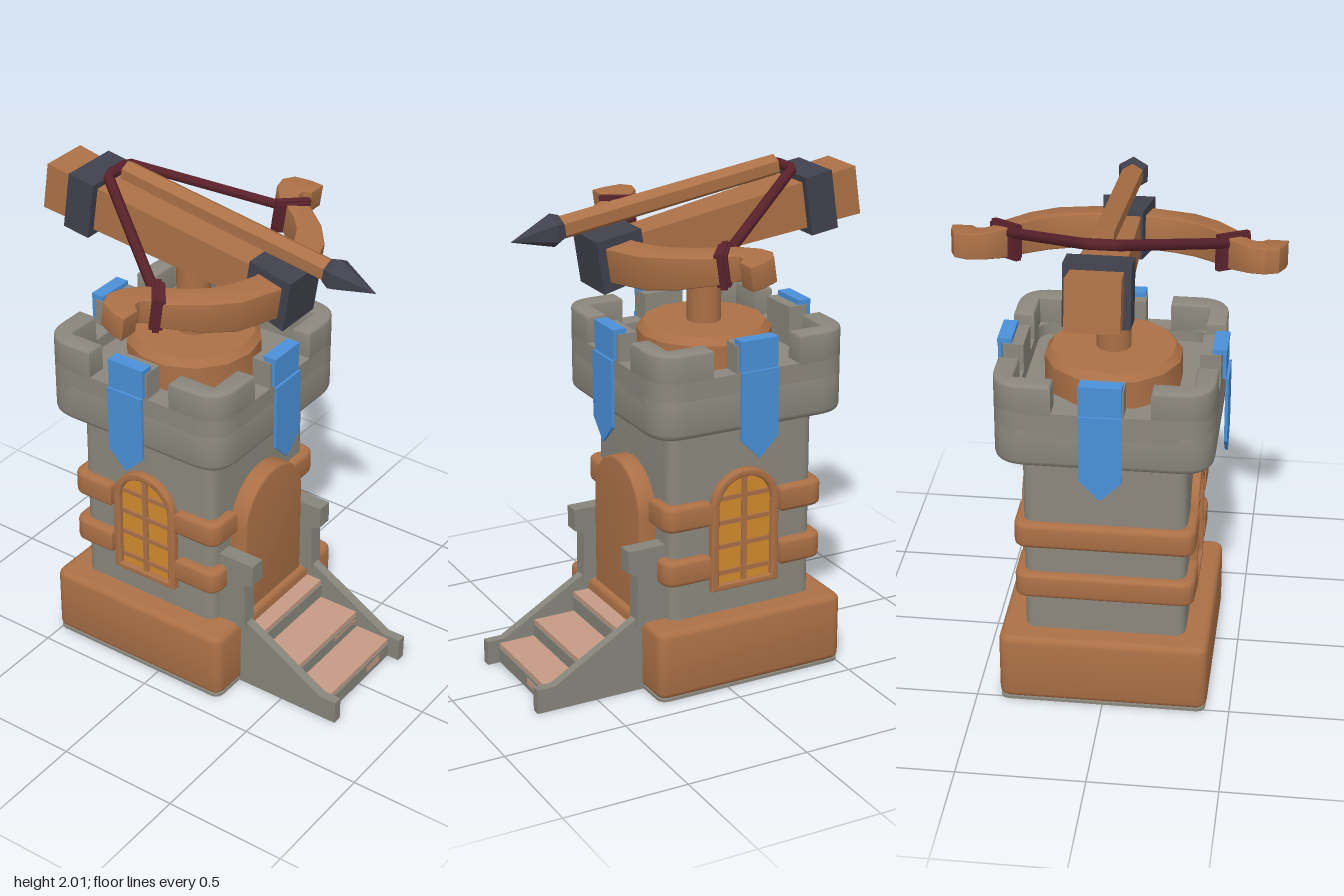
import * as THREE from 'three';
import { toCreasedNormals } from 'three/addons/utils/BufferGeometryUtils.js';

const mat = (name, color) => Object.assign(new THREE.MeshStandardMaterial({ color }), { name });
const stone = mat('stone', 0x8b877d);
const wood = mat('wood', 0xab7046);
const paleWood = mat('paleWood', 0xc69a84);
const railStone = mat('railStone', 0x85857b);
const iron = mat('iron', 0x40414c);
const cord = mat('cord', 0x5a222b);
const cloth = mat('cloth', 0x4a90d8);
const glass = mat('glass', 0xd08a2e);

function add(parent, name, geometry, material, x = 0, y = 0, z = 0) {
  const mesh = new THREE.Mesh(geometry, material);
  mesh.name = name;
  mesh.position.set(x, y, z);
  parent.add(mesh);
  return mesh;
}
function group(parent, name, x = 0, y = 0, z = 0) {
  const g = new THREE.Group();
  g.name = name;
  g.position.set(x, y, z);
  parent.add(g);
  return g;
}
const box = (w, h, d) => new THREE.BoxGeometry(w, h, d);
const polygon = pts => new THREE.Shape(pts.map(p => new THREE.Vector2(...p)));

// Extrusion along z from z0 to z1, bevel kept inside the outline
function extrude(shape, z0, z1, bevel = 0) {
  const g = new THREE.ExtrudeGeometry(shape, {
    depth: z1 - z0 - 2 * bevel, bevelEnabled: bevel > 0, bevelSize: bevel,
    bevelThickness: bevel, bevelOffset: -bevel, bevelSegments: 3, curveSegments: 10,
  });
  g.translate(0, 0, z0 + bevel);
  return toCreasedNormals(g, 0.6);
}
// Extrusion upward: shape (x, y) lies on the (x, z) plane
const extrudeUp = (shape, y0, y1, bevel) => extrude(shape, -y1, -y0, bevel).rotateX(Math.PI / 2);

function roundedSquare(h, r, T = THREE.Shape) {
  const s = new T();
  s.moveTo(-h + r, -h);
  s.lineTo(h - r, -h).quadraticCurveTo(h, -h, h, -h + r);
  s.lineTo(h, h - r).quadraticCurveTo(h, h, h - r, h);
  s.lineTo(-h + r, h).quadraticCurveTo(-h, h, -h, h - r);
  s.lineTo(-h, -h + r).quadraticCurveTo(-h, -h, -h + r, -h);
  return s;
}
// L-shaped corner piece; a and b are where its arms start along x and z
function cornerShape(inner, outer, a, b, r, sx = 1) {
  const s = new THREE.Shape();
  s.moveTo(sx * a, inner);
  s.lineTo(sx * a, outer);
  s.lineTo(sx * (outer - r), outer);
  s.quadraticCurveTo(sx * outer, outer, sx * outer, outer - r);
  s.lineTo(sx * outer, b);
  s.lineTo(sx * inner, b);
  s.lineTo(sx * inner, inner);
  return s;
}
function arch(w, y0, top, T = THREE.Shape) {
  const s = new T();
  s.moveTo(-w, y0);
  s.lineTo(w, y0);
  s.lineTo(w, top - w);
  s.absarc(0, top - w, w, 0, Math.PI, false);
  s.lineTo(-w, y0);
  return s;
}
function archFrame(w, inset, y0, sill, top) {
  const s = arch(w, y0, top);
  s.holes.push(arch(w - inset, y0 + sill, top - inset, THREE.Path));
  return s;
}

function buildTower(root) {
  const t = group(root, 'tower', 0, 0, -0.108);
  add(t, 'footing', extrudeUp(roundedSquare(0.405, 0.04), 0, 0.012), stone);
  add(t, 'plinth', extrudeUp(roundedSquare(0.41, 0.05), 0.01, 0.29, 0.025), wood);
  add(t, 'shaft', extrudeUp(roundedSquare(0.315, 0.05), 0.25, 1.12), stone);

  // Wooden hoops, interrupted by door and windows
  for (const y of [0.445, 0.67]) {
    for (const sx of [-1, 1])
      add(t, 'frontHoop', extrudeUp(cornerShape(0.29, 0.35, 0.2, 0.155, 0.06, sx), y, y + 0.105, 0.018), wood);
    const u = new THREE.Shape();
    u.moveTo(0.29, -0.155);
    u.lineTo(0.35, -0.155).lineTo(0.35, -0.29).quadraticCurveTo(0.35, -0.35, 0.29, -0.35);
    u.lineTo(-0.29, -0.35).quadraticCurveTo(-0.35, -0.35, -0.35, -0.29).lineTo(-0.35, -0.155);
    u.lineTo(-0.29, -0.155).lineTo(-0.29, -0.29).lineTo(0.29, -0.29);
    add(t, 'backHoop', extrudeUp(u, y, y + 0.105, 0.018), wood);
  }

  // Battlement: slab, parapet, merlons and banners
  add(t, 'battlementSlab', extrudeUp(roundedSquare(0.415, 0.13), 1.07, 1.25, 0.025), stone);
  const ring = roundedSquare(0.415, 0.13);
  ring.holes.push(roundedSquare(0.335, 0.07, THREE.Path));
  add(t, 'parapet', extrudeUp(ring, 1.2, 1.3), stone);
  for (let i = 0; i < 4; i++) {
    const side = group(t, 'battlementSide');
    side.rotation.y = i * Math.PI / 2;
    add(side, 'cornerMerlon', extrudeUp(cornerShape(0.335, 0.415, 0.185, 0.185, 0.13), 1.28, 1.41, 0.012), stone);
    add(side, 'middleMerlon', box(0.17, 0.12, 0.08), stone, 0, 1.35, 0.375);
    add(side, 'bannerHook', box(0.16, 0.02, 0.055), cloth, 0, 1.42, 0.408);
    add(side, 'bannerTop', box(0.16, 0.12, 0.014), cloth, 0, 1.37, 0.427);
    add(side, 'banner', extrude(polygon([[-0.08, 1.31], [-0.08, 1.04], [0, 0.96], [0.08, 1.04], [0.08, 1.31]]), 0.432, 0.444), cloth);
  }
  const disc = [[0, 1.24], [0.265, 1.24], [0.265, 1.36], [0.24, 1.39], [0, 1.39]];
  const turntable = new THREE.LatheGeometry(disc.map(p => new THREE.Vector2(...p)), 14);
  add(t, 'turntable', toCreasedNormals(turntable, 0.5), wood);
  add(t, 'post', new THREE.CylinderGeometry(0.067, 0.067, 0.34, 14), wood, 0, 1.54);

  // Door with a worn lower half
  add(t, 'doorFrame', extrude(archFrame(0.195, 0.036, 0.27, 0.01, 0.88), 0.29, 0.388, 0.008), wood);
  add(t, 'doorPanel', extrude(arch(0.165, 0.27, 0.85), 0.3, 0.33), paleWood);
  const wave = new THREE.Shape();
  wave.moveTo(-0.165, 0.27);
  wave.lineTo(-0.165, 0.44);
  wave.splineThru([[-0.145, 0.46], [-0.12, 0.53], [-0.085, 0.455], [-0.05, 0.46], [-0.005, 0.53], [0.03, 0.48],
    [0.07, 0.48], [0.1, 0.44], [0.135, 0.51], [0.165, 0.45]].map(p => new THREE.Vector2(...p)));
  wave.lineTo(0.165, 0.27);
  add(t, 'doorStain', extrude(wave, 0.33, 0.335), wood);
  add(t, 'doorRing', new THREE.TorusGeometry(0.035, 0.008, 8, 18), railStone, 0.095, 0.53, 0.365);
  add(t, 'doorRingHanger', box(0.014, 0.05, 0.045), railStone, 0.095, 0.575, 0.352);

  // Barred windows on both sides
  for (const s of [-1, 1]) {
    const w = group(t, 'window');
    w.rotation.y = s * Math.PI / 2;
    add(w, 'windowFrame', extrude(archFrame(0.147, 0.03, 0.39, 0.025, 0.88), 0.3, 0.346, 0.006), wood);
    add(w, 'windowPane', extrude(arch(0.12, 0.4, 0.855), 0.3, 0.325), glass);
    add(w, 'verticalBar', box(0.022, 0.44, 0.014), wood, 0, 0.63, 0.328);
    for (const y of [0.46, 0.57, 0.67, 0.77])
      add(w, 'crossBar', box(0.22, 0.018, 0.012), wood, 0, y, 0.328);
  }
}

function buildStairs(root) {
  const st = group(root, 'stairs');
  // Treads with stone risers, chipped in places
  for (const [top, front] of [[0.085, 0.70], [0.155, 0.545], [0.24, 0.37]]) {
    add(st, 'step', box(0.44, top, front - 0.2), paleWood, 0, top / 2, (front + 0.2) / 2);
    add(st, 'riser', box(0.43, 0.06, 0.008), railStone, 0, top - 0.048, front + 0.002);
  }
  add(st, 'riserChip', box(0.16, 0.042, 0.006), paleWood, 0.13, 0.11, 0.548);
  add(st, 'riserChip', box(0.09, 0.03, 0.006), paleWood, 0.1, 0.04, 0.704);
  const rail = polygon([[0.753, 0], [0.753, 0.1], [0.68, 0.1], [0.33, 0.305], [0.2, 0.305], [0.2, 0]]);
  const newel = polygon([[0.33, 0.28], [0.325, 0.49], [0.365, 0.51], [0.365, 0.6], [0.19, 0.6], [0.19, 0.28]]);
  for (const s of [-1, 1]) {
    add(st, 'stairRail', extrude(rail, -0.019, 0.019).rotateY(-Math.PI / 2), railStone, s * 0.238);
    add(st, 'newelPost', extrude(newel, -0.032, 0.032).rotateY(-Math.PI / 2), railStone, s * 0.238);
  }
}

// Box along z whose width and height change from back to front
function taperedBox(back, front, z0, z1) {
  const g = box(1, 1, 1), p = g.attributes.position;
  for (let i = 0; i < p.count; i++) {
    const [w, h] = p.getZ(i) > 0 ? front : back;
    p.setXYZ(i, p.getX(i) * w, p.getY(i) * h, p.getZ(i) > 0 ? z1 : z0);
  }
  g.computeVertexNormals();
  return g;
}

function buildCrossbow(root) {
  const c = group(root, 'crossbow', 0, 1.741, 0);
  c.rotation.x = 0.148;
  add(c, 'stock', taperedBox([0.2, 0.195], [0.12, 0.143], -0.745, 0.367), wood);
  add(c, 'frontBracket', taperedBox([0.15, 0.19], [0.205, 0.207], 0.19, 0.39), iron);
  add(c, 'rearBand', box(0.245, 0.235, 0.118), iron, 0, 0, -0.566);

  // Recurved bow, thinner toward the tips
  const half = [[0.1, 0.355], [0.27, 0.30], [0.37, 0.22], [0.47, 0.10], [0.49, 0.04], [0.51, 0.023], [0.54, 0.023],
    [0.56, 0.05], [0.64, 0.05], [0.635, 0.0], [0.612, -0.065], [0.56, -0.09], [0.50, -0.075], [0.43, -0.015],
    [0.395, 0.04], [0.34, 0.11], [0.28, 0.165], [0.2, 0.205], [0.1, 0.235]];
  const outline = [...half, ...half.map(([x, z]) => [-x, z]).reverse()];
  const bow = extrudeUp(polygon(outline), -0.068, 0.068, 0.006);
  const p = bow.attributes.position;
  for (let i = 0; i < p.count; i++)
    p.setY(i, p.getY(i) * (1 - 0.28 * THREE.MathUtils.smoothstep(Math.abs(p.getX(i)), 0.3, 0.55)));
  add(c, 'bow', bow, wood);

  // String with its lashings on the bow
  const knots = [[-0.43, 0.03, 0.04], [-0.065, 0.15, -0.485], [0.065, 0.15, -0.485], [0.43, 0.03, 0.04]]
    .map(k => new THREE.Vector3(...k));
  const path = new THREE.CurvePath();
  for (let i = 0; i < 3; i++) path.add(new THREE.LineCurve3(knots[i], knots[i + 1]));
  add(c, 'bowString', new THREE.TubeGeometry(path, 60, 0.021, 6), cord);
  for (const s of [-1, 1]) {
    const lash = group(c, 'lashing', s * 0.432, 0, 0.045);
    lash.rotation.y = s * 0.9;
    add(lash, 'lashingBand', box(0.05, 0.125, 0.125), cord);
    add(lash, 'lashingWrap', box(0.024, 0.14, 0.14), cord);
  }

  // Bolt
  const shaft = new THREE.CylinderGeometry(0.046, 0.042, 0.95, 6).rotateX(Math.PI / 2);
  add(c, 'boltShaft', toCreasedNormals(shaft, 0.3), wood, 0, 0.163, 0.03);
  const head = new THREE.LatheGeometry([[0, -0.02], [0.05, -0.02], [0.066, 0.015], [0, 0.185]]
    .map(q => new THREE.Vector2(...q)), 6).rotateX(Math.PI / 2);
  add(c, 'boltHead', toCreasedNormals(head, 0.3), iron, 0, 0.163, 0.5);
}

export function createModel() {
  const root = new THREE.Group();
  root.name = 'crossbowTower';
  buildTower(root);
  buildStairs(root);
  buildCrossbow(root);
  return root;
}
